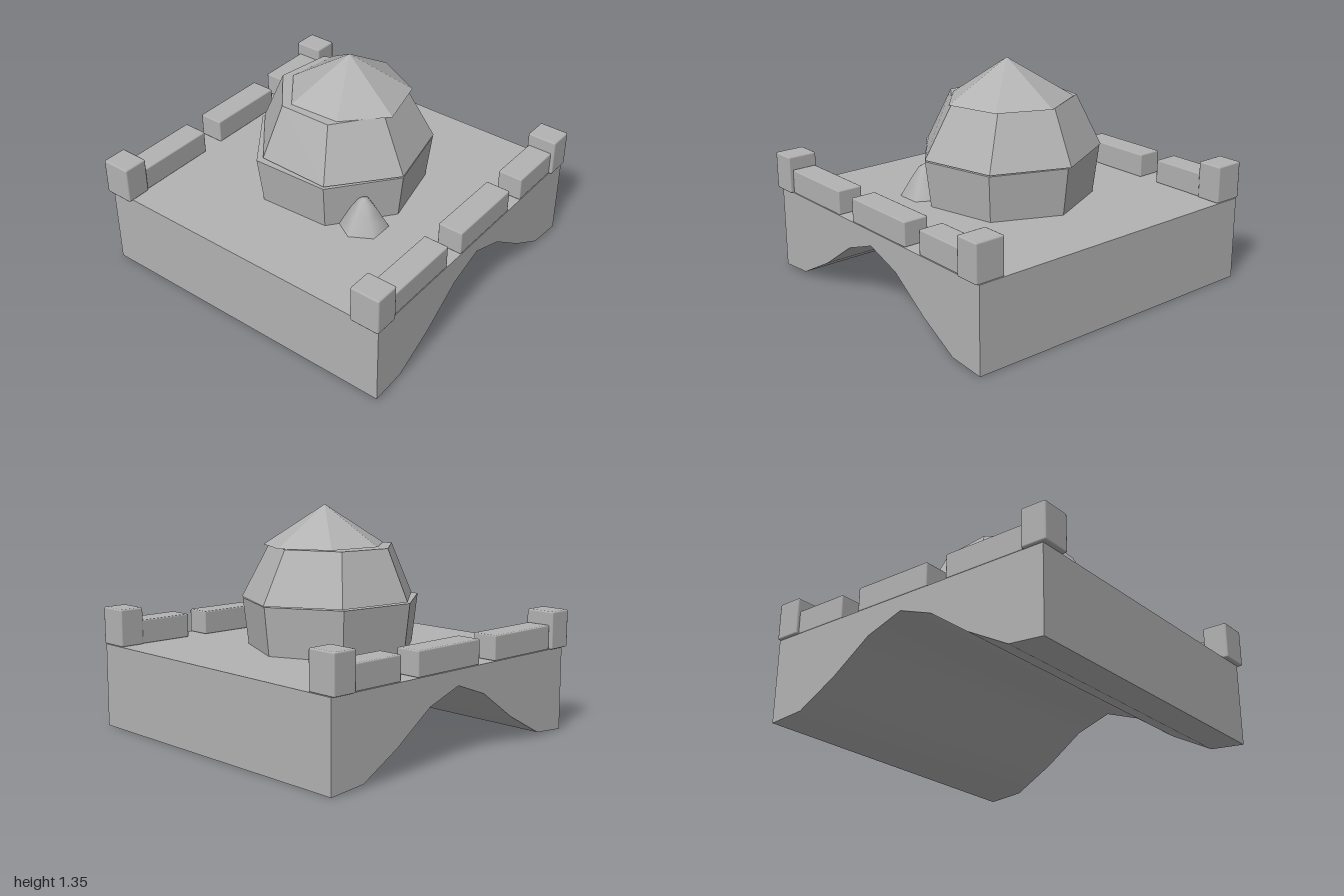
import * as THREE from 'three';
import { toCreasedNormals } from 'three/addons/utils/BufferGeometryUtils.js';
import { RoundedBoxGeometry } from 'three/addons/geometries/RoundedBoxGeometry.js';

// Closed faceted solid between two rings of [x, y, z]; a one-point top ring makes a peak.
function loft(low, up) {
  const pos = [];
  const tri = (...pts) => pts.forEach((p) => pos.push(...p));
  const n = low.length;
  for (let i = 0; i < n; i++) {
    const j = (i + 1) % n;
    if (up.length === 1) {
      tri(low[i], up[0], low[j]);
    } else {
      tri(low[i], up[i], up[j]);
      tri(low[i], up[j], low[j]);
      if (i > 0 && i < n - 1) tri(up[0], up[j], up[i]);
    }
    if (i > 0 && i < n - 1) tri(low[0], low[i], low[j]);
  }
  const g = new THREE.BufferGeometry();
  g.setAttribute('position', new THREE.Float32BufferAttribute(pos, 3));
  g.computeVertexNormals();
  return g;
}

// Ring from [x, z] points, scaled about a centre, at a height that may tilt along x.
function ring(points, y, scale = 1, cx = 0, cz = 0, tilt = 0) {
  return points.map(([x, z]) => [cx + (x - cx) * scale, y + tilt * x, cz + (z - cz) * scale]);
}

export function createModel() {
  const group = new THREE.Group();
  const stone = new THREE.MeshStandardMaterial({ color: 0xb2b2b2 });
  stone.name = 'stone grey';

  const add = (name, geometry) => {
    const mesh = new THREE.Mesh(geometry, stone);
    mesh.name = name;
    group.add(mesh);
    return mesh;
  };

  // Deck with the arched underside, drawn as (-z, y) and extruded across x
  const arch = [
    [0.935, 0.505], [0.935, 0.003], [0.72, 0.02], [0.46, 0.16], [0.21, 0.335], [-0.01, 0.415],
    [-0.24, 0.335], [-0.49, 0.16], [-0.74, 0.02], [-0.965, 0], [-0.965, 0.505],
  ];
  const shape = new THREE.Shape(arch.map(([z, y]) => new THREE.Vector2(-z, y)));
  const deck = new THREE.ExtrudeGeometry(shape, { depth: 1.96, bevelEnabled: false });
  deck.translate(0, 0, -0.98).rotateY(Math.PI / 2);
  add('archedDeck', toCreasedNormals(deck, 0.75));

  // Corner posts and parapet blocks along both sides
  for (const side of [-1, 1]) {
    for (const end of [-1, 1]) {
      add('cornerPost', new RoundedBoxGeometry(0.185, 0.225, 0.155, 1, 0.01))
        .position.set(side * 0.907, 0.617, end * 0.887);
    }
    for (const [z0, z1] of [[-0.815, -0.465], [-0.335, 0.168], [0.302, 0.808]]) {
      add('parapetBlock', new RoundedBoxGeometry(0.155, 0.145, z1 - z0, 1, 0.008))
        .position.set(side * 0.902, 0.578, (z0 + z1) / 2);
    }
  }

  // Seven-sided hut: lower wall flaring outwards
  const wall = [
    [0, -0.55], [0.42, -0.36], [0.525, 0.09], [0.24, 0.46], [-0.23, 0.485], [-0.505, 0.115], [-0.44, -0.35],
  ];
  add('lowerWall', loft(ring(wall, 0.5, 0.935, 0.01, -0.03), ring(wall, 0.792, 1, 0, 0, -0.015)));

  // Upper wall tapering inwards
  const belt = [
    [-0.01, -0.565], [0.42, -0.365], [0.525, 0.09], [0.235, 0.45], [-0.21, 0.45], [-0.5, 0.1], [-0.44, -0.36],
  ];
  const eaves = [
    [-0.02, -0.41], [0.28, -0.27], [0.355, 0.05], [0.16, 0.315], [-0.165, 0.32], [-0.38, 0.06], [-0.33, -0.26],
  ];
  add('upperWall', loft(ring(belt, 0.8, 1, 0, 0, -0.015), ring(eaves, 1.11)));

  // Pointed roof, slightly off centre
  const roof = [
    [0.015, -0.43], [0.31, -0.285], [0.395, 0.03], [0.18, 0.26], [-0.13, 0.28], [-0.325, 0.03], [-0.28, -0.29],
  ];
  add('roof', loft(ring(roof, 1.113, 1, 0, 0, -0.01), [[0.03, 1.35, -0.05]]));

  // Small flared mound beside the hut
  const profile = [[0.15, 0], [0.09, 0.1], [0.035, 0.18], [0, 0.2]]
    .map(([r, y]) => new THREE.Vector2(r, y));
  add('mound', new THREE.LatheGeometry(profile, 6)).position.set(0.39, 0.5, 0.28);

  return group;
}
